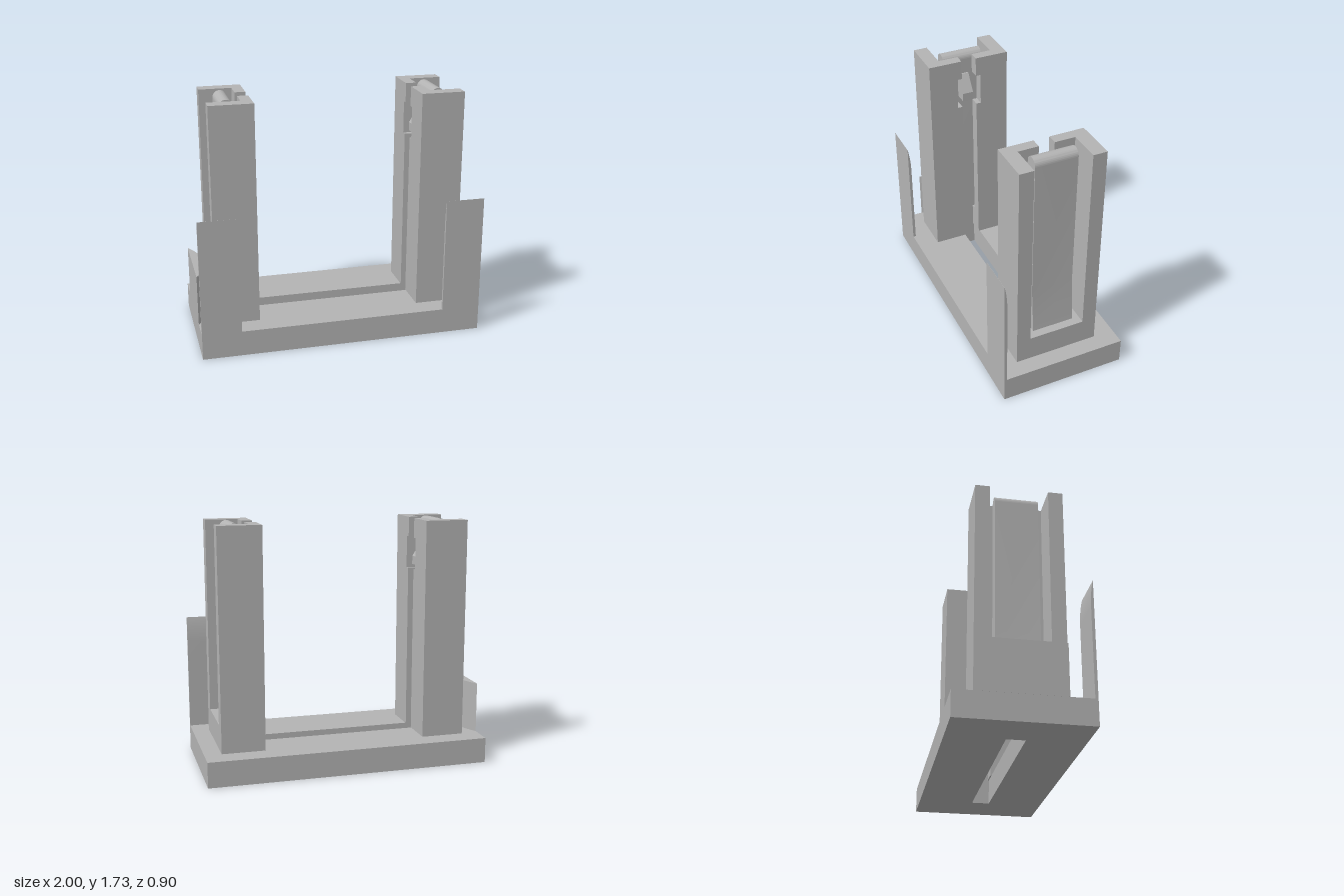
import * as THREE from 'three';
import { toCreasedNormals } from 'three/addons/utils/BufferGeometryUtils.js';

const grey = new THREE.MeshStandardMaterial({ color: 0xb3b3b3 });
grey.name = 'plain grey';

function polygon(points) {
  return new THREE.Shape(points.map(([x, y]) => new THREE.Vector2(x, y)));
}

function extrude(shape, depth) {
  const geometry = new THREE.ExtrudeGeometry(shape, { depth, bevelEnabled: false, curveSegments: 24 });
  return toCreasedNormals(geometry, 0.5);
}

// Plan outline (x, -z) raised from y0 to y1
function raise(shape, y0, y1) {
  return extrude(shape, y1 - y0).rotateX(-Math.PI / 2).translate(0, y0, 0);
}

// Side outline (-z, y) stretched from x0 to x1
function stretch(shape, x0, x1) {
  return extrude(shape, x1 - x0).rotateY(Math.PI / 2).translate(x0, 0, 0);
}

function add(parent, name, geometry) {
  const mesh = new THREE.Mesh(geometry, grey);
  mesh.name = name;
  parent.add(mesh);
  return mesh;
}

const BASE = 0.18, FLOOR = 0.36, TOP = 1.73;
const INNER = 0.575, OUTER = 0.88, WALL = 0.65, SLOT = 0.055;

// Tower on the +x side, its channel open outwards
function createTower(name) {
  const tower = new THREE.Group();
  tower.name = name;

  // Channel floor, notched from the inner side
  add(tower, 'channelFloor', raise(polygon([
    [INNER, -0.2], [OUTER, -0.2], [OUTER, 0.2], [INNER, 0.2],
    [INNER, SLOT], [0.69, SLOT], [0.69, -SLOT], [INNER, -SLOT],
  ]), BASE, FLOOR));

  for (const s of [1, -1]) {
    // Side wall
    const wall = new THREE.BoxGeometry(OUTER - INNER, TOP - BASE, 0.1);
    add(tower, 'sideWall', wall.translate((INNER + OUTER) / 2, (TOP + BASE) / 2, s * 0.25));

    // Inner wall beside the slot, with a wider window for the hook
    add(tower, 'slotWall', stretch(polygon([
      [SLOT, FLOOR], [0.2, FLOOR], [0.2, TOP], [SLOT, TOP],
      [SLOT, 1.59], [0.09, 1.59], [0.09, 1.36], [SLOT, 1.36],
    ].map(([z, y]) => [s * z, y])), INNER, WALL));
  }

  // Spring lever with a flared foot and a rounded head
  const lever = new THREE.Shape();
  lever.moveTo(0.69, FLOOR);
  lever.lineTo(0.82, FLOOR);
  lever.lineTo(0.79, 0.69);
  lever.lineTo(0.79, 1.68);
  lever.absarc(0.74, 1.68, 0.05, 0, Math.PI, false);
  lever.lineTo(0.69, FLOOR);
  add(tower, 'lever', extrude(lever, 0.3).translate(0, 0, -0.15));

  // Hook reaching into the slot
  const hook = polygon([[0.7, 1.39], [0.7, 1.57], [0.68, 1.57], [0.6, 1.45], [0.6, 1.39]]);
  add(tower, 'hook', extrude(hook, 0.08).translate(0, 0, -0.04));
  return tower;
}

export function createModel() {
  const model = new THREE.Group();
  model.name = 'doubleTowerStand';

  // Base with a long slot through it
  const base = polygon([[-1, -0.45], [1, -0.45], [1, 0.45], [-1, 0.45]]);
  base.holes.push(polygon([[-0.69, -0.063], [-0.69, 0.063], [0.69, 0.063], [0.69, -0.063]]));
  add(model, 'base', raise(base, 0, BASE));

  // Two facing towers
  model.add(createTower('leftTower'));
  const rightTower = createTower('rightTower');
  rightTower.rotation.y = Math.PI;
  model.add(rightTower);

  // Thin front plates whose backs curve to an edge at the top
  const plate = new THREE.Shape();
  plate.moveTo(-0.45, BASE);
  plate.lineTo(-0.43, BASE);
  plate.lineTo(-0.43, 0.82);
  plate.quadraticCurveTo(-0.431, 0.92, -0.449, 1);
  plate.lineTo(-0.45, 1);
  add(model, 'leftFrontPlate', stretch(plate, 0.725, 1));
  add(model, 'rightFrontPlate', stretch(plate, -1, -0.725));

  // Raised end stop with a rounded inner face
  const radius = 0.51, angle = Math.asin(0.275 / radius);
  const stop = new THREE.Shape();
  stop.absarc(-0.92 - radius, 0, radius, -angle, angle, false);
  stop.closePath();
  add(model, 'endStop', raise(stop, BASE, 0.54));

  return model;
}
